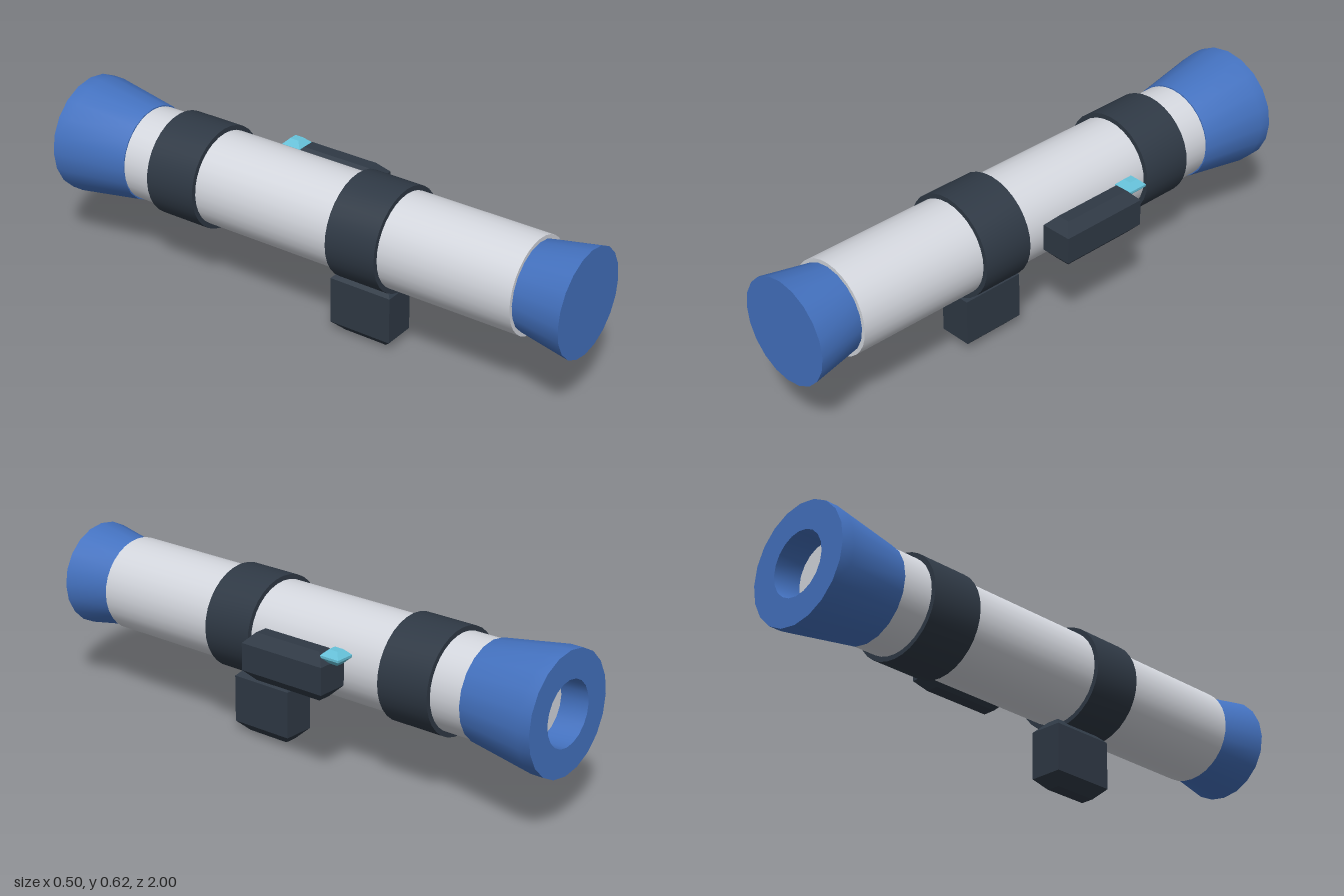
import * as THREE from 'three';
import { toCreasedNormals } from 'three/addons/utils/BufferGeometryUtils.js';

const AXIS_X = -0.04, AXIS_Y = 0.408;

function material(name, color) {
  const m = new THREE.MeshStandardMaterial({ color });
  m.name = name;
  return m;
}

// Turned part around the barrel axis; profile is [radius, z] from back to front
function turned(name, profile, sides, mat) {
  const geo = new THREE.LatheGeometry(profile.map(([r, z]) => new THREE.Vector2(r, z)), sides);
  geo.rotateX(Math.PI / 2);
  const mesh = new THREE.Mesh(toCreasedNormals(geo, 0.6), mat);
  mesh.name = name;
  mesh.position.set(AXIS_X, AXIS_Y, 0);
  return mesh;
}

// Box whose top and bottom are chamfered inwards on all four sides
function chamferedBox(name, size, inset, rise, center, mat) {
  const [w, h, d] = size;
  const geo = new THREE.BoxGeometry(w, h, d, 1, 3, 1);
  const p = geo.attributes.position;
  for (let i = 0; i < p.count; i++) {
    const y = p.getY(i), s = Math.sign(y);
    if (Math.abs(y) > h * 0.4) {
      p.setX(i, p.getX(i) - Math.sign(p.getX(i)) * inset);
      p.setZ(i, p.getZ(i) - Math.sign(p.getZ(i)) * inset);
    } else {
      p.setY(i, s * (h / 2 - rise));
    }
  }
  const mesh = new THREE.Mesh(toCreasedNormals(geo, 0.3), mat);
  mesh.name = name;
  mesh.position.set(...center);
  return mesh;
}

export function createModel() {
  const group = new THREE.Group();
  group.name = 'shoulderLauncher';
  const white = material('paleGrey', 0xd4d7de);
  const blue = material('blue', 0x4472c0);
  const dark = material('darkSlate', 0x2f3945);
  const cyan = material('cyan', 0x66c2da);

  // Main tube, its back cap forms the floor of the rear bore
  group.add(turned('barrel', [[0, -0.9], [0.166, -0.9], [0.166, 0.82], [0, 0.82]], 32, white));

  // Closed front cap and hollow rear bell
  group.add(turned('frontCap', [[0.152, 0.815], [0.185, 1], [0, 1]], 20, blue));
  group.add(turned('rearBell', [
    [0.112, -0.9], [0.112, -1], [0.209, -1], [0.209, -0.955], [0.171, -0.715], [0.15, -0.715],
  ], 20, blue));

  // Clamping bands
  [['frontBand', 0.14, 0.33], ['rearBand', -0.6, -0.405]].forEach(([name, z0, z1]) => {
    group.add(turned(name, [[0.15, z0], [0.183, z0], [0.183, z1], [0.15, z1]], 32, dark));
  });

  // Grip below, sight housing on the side, small lens on the housing
  group.add(chamferedBox('grip', [0.119, 0.242, 0.236], 0.036, 0.037, [AXIS_X, 0.121, 0.192], dark));
  group.add(chamferedBox('sightHousing', [0.114, 0.167, 0.334], 0.034, 0.036, [0.19, 0.4065, -0.095], dark));
  group.add(chamferedBox('sightLens', [0.07, 0.048, 0.074], 0.02, 0.02, [0.187, 0.479, -0.274], cyan));
  return group;
}
